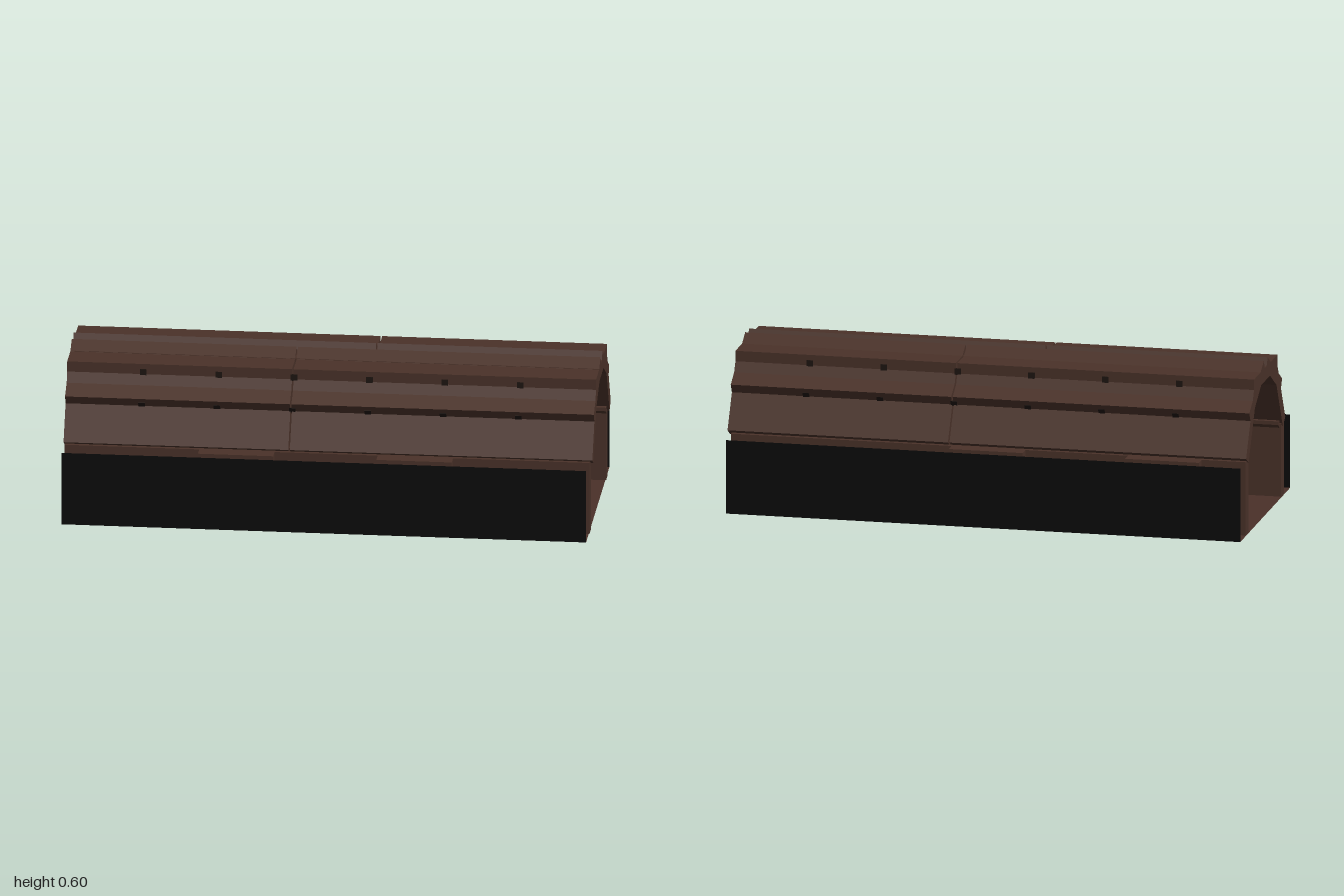
import * as THREE from 'three';

const brown = new THREE.MeshStandardMaterial({ color: 0x4a3229, name: 'brown timber' });
const dark = new THREE.MeshStandardMaterial({ color: 0x1e1511, name: 'dark notch' });
const black = new THREE.MeshStandardMaterial({ color: 0x0b0b0b, side: THREE.DoubleSide, name: 'black sheet' });
const ground = new THREE.MeshStandardMaterial({ color: 0x4a3029, side: THREE.DoubleSide, name: 'brown floor' });

function box(parent, name, mat, size, pos) {
  const mesh = new THREE.Mesh(new THREE.BoxGeometry(...size), mat);
  mesh.name = name;
  mesh.position.set(...pos);
  parent.add(mesh);
  return mesh;
}

function plane(parent, name, mat, w, h, pos, rotX) {
  const mesh = new THREE.Mesh(new THREE.PlaneGeometry(w, h), mat);
  mesh.name = name;
  mesh.position.set(...pos);
  mesh.rotation.x = rotX;
  parent.add(mesh);
}

const PLANK = 0.285, THICK = 0.05;

// Roof planks of one side: name, y, z, tilt in degrees
const ROOF = [
  ['lowerRoof', 0.408, 0.242, 60],
  ['upperRoof', 0.51, 0.144, 30],
  ['crownRoof', 0.547, 0.057, 0],
];

function roofPlank(parent, s, [name, y, z, tilt]) {
  const g = new THREE.Group();
  g.name = name;
  g.position.set(0, s > 0 ? y : y + 0.002, s * z);
  g.rotation.x = s * THREE.MathUtils.degToRad(tilt);
  // two lengths with a narrow seam between them
  const seam = -0.147 * s, gap = 0.003;
  for (const [a, b] of [[-1, seam - gap], [seam + gap, 1]]) {
    box(g, name + 'Panel', brown, [b - a, THICK, PLANK], [(a + b) / 2, 0, 0]);
  }
  // small dark notches along the exposed lip
  if (tilt < 60) {
    for (let i = 0; i < 6; i++) {
      box(g, 'lipNotch', dark, [0.025, 0.025, 0.004], [-0.712 + i * 0.285, -0.008, s * PLANK / 2]);
    }
  }
  parent.add(g);
}

// Chamfered rail along the inner top of the wall
function rail(parent, s) {
  const pts = [[0.26, 0.297], [0.26, 0.283], [0.28, 0.267], [0.31, 0.267], [0.31, 0.297]];
  const shape = new THREE.Shape(pts.map(([z, y]) => new THREE.Vector2(-s * z, y)));
  const geo = new THREE.ExtrudeGeometry(shape, { depth: 1.98, bevelEnabled: false });
  geo.rotateY(Math.PI / 2).translate(-0.99, 0, 0);
  const mesh = new THREE.Mesh(geo, brown);
  mesh.name = 'wallRail';
  parent.add(mesh);
}

export function createModel() {
  const model = new THREE.Group();
  model.name = 'timberTunnel';

  // Floor
  plane(model, 'floor', ground, 1.985, 0.85, [-0.007, 0.001, -0.004], -Math.PI / 2);

  for (const s of [1, -1]) {
    const side = new THREE.Group();
    side.name = s > 0 ? 'frontSide' : 'backSide';
    model.add(side);

    // Outer black sheet
    plane(side, 'outerSheet', black, 1.985, 0.285, [-0.007, 0.1425, s > 0 ? 0.421 : -0.429], 0);

    // Wall and the blocks against it
    box(side, 'wall', brown, [1.985, 0.284, 0.05], [-0.004, 0.143, s * 0.304]);
    for (const x of s > 0 ? [-0.345, 0.33] : [-0.685, -0.005]) {
      box(side, 'wallBlock', brown, [0.285, 0.284, 0.048], [x, 0.143, s * 0.353]);
    }
    rail(side, s);
    for (const plank of ROOF) roofPlank(side, s, plank);
  }
  return model;
}
